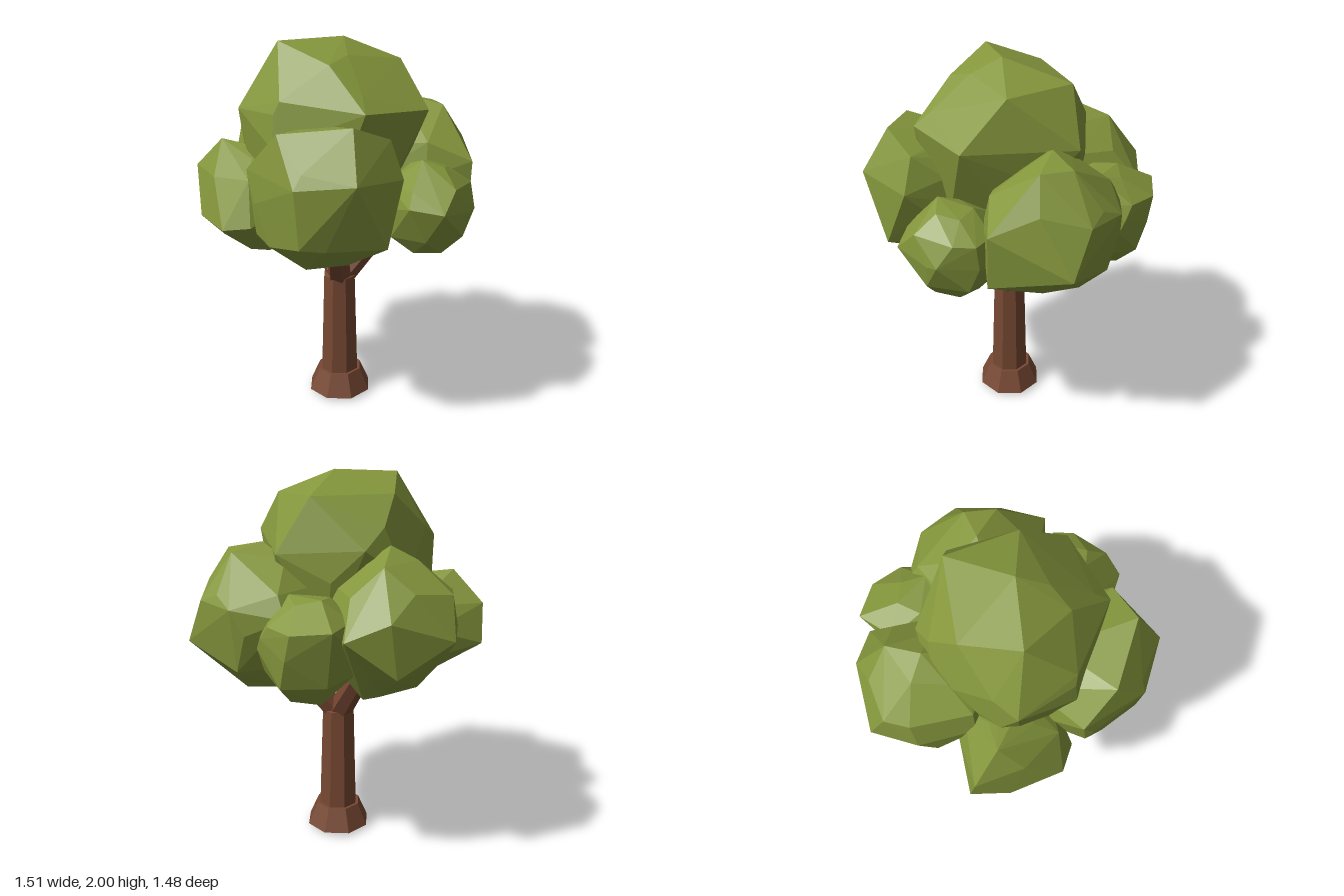
import * as THREE from 'three';
import { ConvexGeometry } from 'three/addons/geometries/ConvexGeometry.js';

const V = (x, y, z) => new THREE.Vector3(x, y, z);

// faceted normals for low-poly parts
function faceted(geometry) {
  const flat = geometry.index ? geometry.toNonIndexed() : geometry;
  flat.computeVertexNormals();
  return flat;
}

// rings of a boxy ball: relative height, relative radius, number of corners
const RINGS = [[-0.93, 0.5, 5], [-0.55, 0.88, 6], [0, 1, 7], [0.5, 0.9, 6], [0.85, 0.42, 5]];

// leaf clump: hull of turned rings, with a few corners that stick out
function clumpGeometry(centre, radius, height, turn, corners) {
  const points = [...corners];
  RINGS.forEach(([h, r, count], ring) => {
    for (let i = 0; i < count; i++) {
      const a = turn + ring * 0.35 + (i / count) * Math.PI * 2;
      const wobble = 0.05 * Math.sin(i * 2.3 + ring + turn);
      points.push(V(Math.sin(a) * r * radius, (h + wobble) * height, Math.cos(a) * r * radius).add(centre));
    }
  });
  return faceted(new ConvexGeometry(points));
}

// six-sided tapered limb between two points
function limbGeometry(from, to, r0, r1) {
  const dir = to.clone().sub(from);
  const g = new THREE.CylinderGeometry(r1, r0, dir.length(), 6);
  g.applyQuaternion(new THREE.Quaternion().setFromUnitVectors(V(0, 1, 0), dir.normalize()));
  const mid = from.clone().add(to).multiplyScalar(0.5);
  g.translate(mid.x, mid.y, mid.z);
  return faceted(g);
}

// eight-sided turned part on the trunk axis
function turnedGeometry(profile) {
  const points = profile.map(([r, y]) => new THREE.Vector2(r, y));
  return faceted(new THREE.LatheGeometry(points, 8, 0.13).translate(-0.035, 0, 0));
}

export function createModel() {
  const tree = new THREE.Group();
  tree.name = 'tree';
  const leafGreen = new THREE.MeshStandardMaterial({ color: 0x84963c });
  leafGreen.name = 'leafGreen';
  const barkBrown = new THREE.MeshStandardMaterial({ color: 0x774833 });
  barkBrown.name = 'barkBrown';

  const add = (name, geometry, material) => {
    const mesh = new THREE.Mesh(geometry, material);
    mesh.name = name;
    tree.add(mesh);
  };
  const clump = (name, centre, radius, height, turn, ...corners) =>
    add(name, clumpGeometry(centre, radius, height, turn, corners), leafGreen);

  // trunk and flared foot
  add('rootFlare', turnedGeometry([[0, 0.005], [0.1, 0.005], [0.1, 0], [0.115, 0], [0.115, 0.02],
    [0.178, 0.02], [0.124, 0.145], [0, 0.145]]), barkBrown);
  add('trunk', turnedGeometry([[0.108, 0.14], [0.09, 0.715], [0, 0.74]]), barkBrown);

  // three forking branches
  const fork = V(-0.035, 0.69, 0);
  [V(0.33, 1.12, 0.03), V(-0.14, 1.12, 0.34), V(-0.14, 1.12, -0.33)].forEach((tip, i) => {
    add('branch' + (i + 1), limbGeometry(fork, tip, 0.068, 0.05), barkBrown);
  });

  // large foliage clumps
  clump('crownTop', V(-0.1, 1.49, 0.02), 0.43, 0.49, 0.2,
    V(-0.35, 1.985, 0.04), V(-0.02, 2, 0.04), V(0.26, 1.89, 0.09), V(0.16, 1.9, -0.26), V(-0.26, 1.9, -0.23),
    V(-0.15, 1.89, 0.27), V(-0.55, 1.66, 0), V(-0.42, 1.67, 0.27), V(-0.03, 1.69, 0.48), V(0.33, 1.67, 0.33),
    V(0.33, 1.63, -0.25), V(-0.07, 1.66, -0.42));
  clump('frontClump', V(-0.2, 1.29, 0.35), 0.34, 0.35, 0.5,
    V(-0.14, 1.43, 0.74), V(-0.4, 1.4, 0.63), V(-0.38, 1.12, 0.63), V(0.03, 1.1, 0.66), V(0.13, 1.4, 0.57),
    V(-0.12, 1.66, 0.6), V(-0.44, 1.62, 0.46), V(0.08, 1.58, 0.52), V(-0.56, 1.43, 0.31), V(-0.53, 1.12, 0.35));
  clump('leftClump', V(0.36, 1.29, -0.1), 0.34, 0.35, 1.1,
    V(0.755, 1.18, -0.09), V(0.53, 1.63, -0.15), V(0.53, 1.63, 0.01), V(0.69, 1.41, -0.19), V(0.6, 1.38, 0.27),
    V(0.59, 1.11, 0.27), V(0.57, 1.4, -0.38), V(0.32, 1.36, -0.47), V(0.37, 1.67, -0.1), V(0.39, 0.94, -0.13));
  clump('backClump', V(-0.21, 1.31, -0.37), 0.33, 0.35, 0.1,
    V(-0.43, 1.28, -0.7), V(-0.11, 1.39, -0.74), V(-0.44, 1.48, -0.61), V(-0.12, 1.61, -0.57), V(-0.2, 1.68, -0.4),
    V(0.09, 1.3, -0.68), V(-0.15, 1.12, -0.72), V(-0.08, 0.9, -0.37));

  // smaller foliage clumps
  clump('rightClump', V(-0.46, 1.2, -0.02), 0.26, 0.27, 0.7,
    V(-0.76, 1.1, -0.05), V(-0.755, 1.33, -0.22), V(-0.75, 1.12, -0.25), V(-0.63, 1.49, -0.1), V(-0.68, 1.1, 0.22),
    V(-0.55, 1.12, 0.28), V(-0.43, 0.93, 0.1));
  clump('smallFrontClump', V(0.33, 1.2, 0.37), 0.23, 0.24, 0.3,
    V(0.55, 1.31, 0.31), V(0.31, 1.23, 0.64), V(0.48, 1.2, 0.53), V(0.16, 1.25, 0.57), V(0.27, 1.45, 0.43));
  clump('smallBackClump', V(0.2, 1.22, -0.42), 0.25, 0.27, 0.9,
    V(0.15, 1.36, -0.72), V(0.33, 1.34, -0.65), V(0.44, 1.28, -0.46));
  return tree;
}
